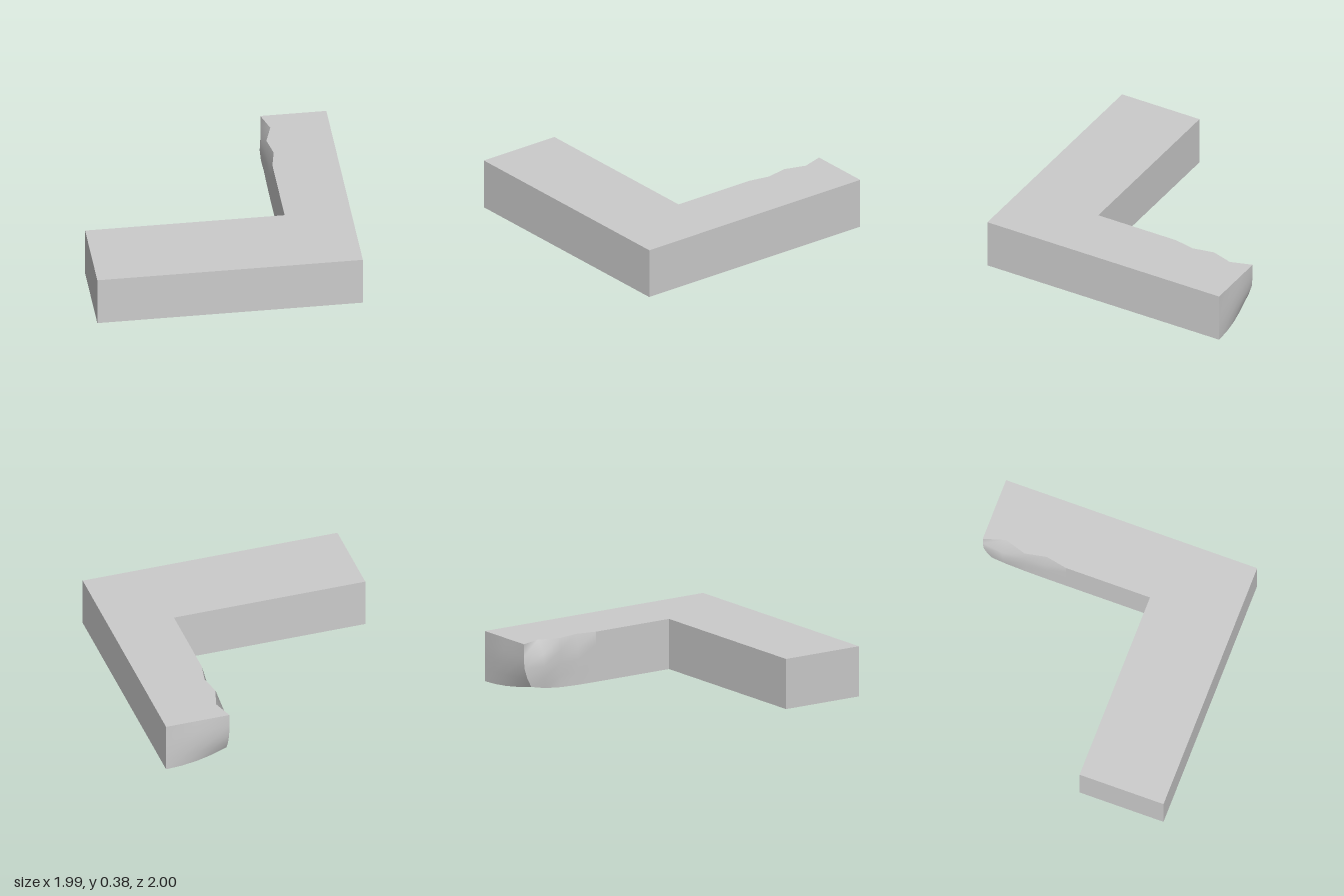
import * as THREE from 'three';

const H = 0.384, INNER = 0.495, OUTER = 0.99, SEAM = -0.33, END = -0.99;

export function createModel() {
  const group = new THREE.Group();
  const material = new THREE.MeshStandardMaterial({ color: 0xcccccc });

  // L-shaped block: long front bar and the straight part of the arm
  const outline = [[-1, -1], [OUTER, -1], [OUTER, -SEAM], [INNER, -SEAM], [INNER, -0.335], [-1, -0.335]];
  const shape = new THREE.Shape(outline.map(([x, y]) => new THREE.Vector2(x, y)));
  const bodyGeo = new THREE.ExtrudeGeometry(shape, { depth: H, bevelEnabled: false });
  bodyGeo.rotateX(-Math.PI / 2);
  const body = new THREE.Mesh(bodyGeo, material);
  body.name = 'cornerBlock';
  group.add(body);

  // Worn end of the arm: chipped upper inner edge, bulging end, rounded lower corner
  const tipGeo = new THREE.BoxGeometry(OUTER - INNER, H, SEAM - END, 4, 4, 4);
  tipGeo.translate((OUTER + INNER) / 2, H / 2, (SEAM + END) / 2);
  const pos = tipGeo.attributes.position;
  const chip = [0, 0.032, 0, 0.052, 0];     // inward, along the top edge
  const swell = [0, 0.003, 0.005, 0.028, 0]; // outward, below the chips
  for (let i = 0; i < pos.count; i++) {
    let x = pos.getX(i), y = pos.getY(i), z = pos.getZ(i);
    const inner = (OUTER - x) / (OUTER - INNER);
    const along = (SEAM - z) / (SEAM - END);
    const up = y / H;
    const station = Math.round(along * 4);
    if (inner > 0.99) {
      if (up > 0.99) x += chip[station];
      else x -= swell[station] * Math.sin(Math.PI * up);
    }
    const dent = inner ** 2 * along ** 3 * Math.max(0, 1 - up * 1.6) ** 1.5;
    const bulge = along ** 4 * Math.sin(Math.PI * inner) * Math.sin(Math.PI * up);
    pos.setXYZ(i, x, y + 0.047 * dent, z + 0.068 * dent - 0.01 * bulge);
  }
  tipGeo.computeVertexNormals();
  const tip = new THREE.Mesh(tipGeo, material);
  tip.name = 'wornArmEnd';
  group.add(tip);

  return group;
}
